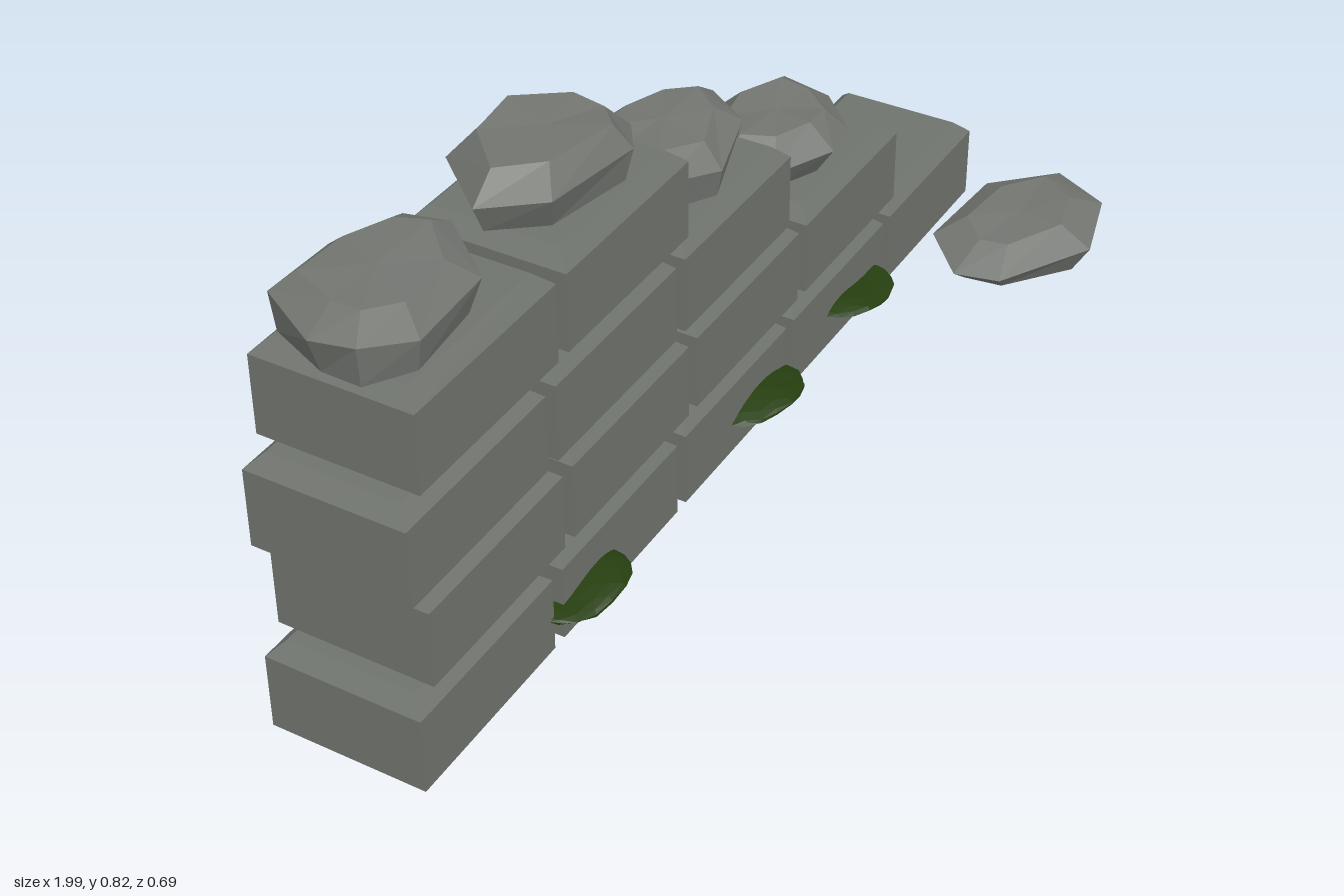
import * as THREE from 'three';

const stone = new THREE.MeshStandardMaterial({ color: 0x6f736d, flatShading: true });
stone.name = 'stone';
const boulder = new THREE.MeshStandardMaterial({ color: 0x727570, flatShading: true });
boulder.name = 'boulder';
const mossGreen = new THREE.MeshStandardMaterial({ color: 0x263f10, flatShading: true });
mossGreen.name = 'mossGreen';

const ANGLE = 0.12, LENGTH = 0.35, PITCH = 0.3775, DEPTH = 0.276, HEIGHT = 0.162, BEVEL = 0.025;

// Skin a stack of equal rings (clockwise from above, bottom to top) and cap both ends
function skin(rings) {
  const pos = [];
  const tri = (...pts) => pts.forEach((p) => pos.push(...p));
  const middle = (ring) => [0, 1, 2].map((k) => ring.reduce((s, p) => s + p[k], 0) / ring.length);
  const n = rings[0].length, last = rings.length - 1;
  const low = middle(rings[0]), high = middle(rings[last]);
  for (let i = 0; i < n; i++) {
    const j = (i + 1) % n;
    for (let r = 0; r < last; r++) {
      const a = rings[r], b = rings[r + 1];
      tri(b[i], b[j], a[j], a[j], a[i], b[i]);
    }
    tri(low, rings[0][i], rings[0][j]);
    tri(high, rings[last][j], rings[last][i]);
  }
  const g = new THREE.BufferGeometry();
  g.setAttribute('position', new THREE.Float32BufferAttribute(pos, 3));
  g.computeVertexNormals();
  return g;
}

// Block with only its top edges chamfered
function blockGeometry() {
  const ring = (y, inset) => {
    const x = LENGTH / 2 - inset, z = DEPTH / 2 - inset;
    return [[-x, y, z], [-x, y, -z], [x, y, -z], [x, y, z]];
  };
  return skin([ring(0, 0), ring(HEIGHT - BEVEL, 0), ring(HEIGHT, BEVEL)]);
}

// Faceted rock from its plan outline, with narrower foot and top
function rockGeometry({ outline, y, foot = 0.8, top = 0.62, tilt = 0 }) {
  const n = outline.length;
  const cx = outline.reduce((s, p) => s + p[0], 0) / n;
  const cz = outline.reduce((s, p) => s + p[1], 0) / n;
  const ring = (h, scale, wobble, slope) => outline.map(([x, z], i) => {
    const s = scale * (1 + (scale < 1 ? 0.06 * Math.sin(i * 2.3 + cx * 9) : 0));
    return [cx + (x - cx) * s, h + wobble * Math.sin(i * 1.9 + cx * 7) + slope * (x - cx), cz + (z - cz) * s];
  });
  return skin([ring(y[0], foot, 0.002, tilt), ring(y[1], 1, 0.01, 0), ring(y[2], top, 0.005, 0)]);
}

// Flat, wavy clump of moss
function mossGeometry(phase) {
  const g = new THREE.IcosahedronGeometry(1, 2);
  const p = g.attributes.position;
  for (let i = 0; i < p.count; i++) {
    const x = p.getX(i), y = p.getY(i), z = p.getZ(i);
    const s = 1 + 0.07 * Math.sin(x * 7 + phase) * Math.cos(z * 6 + y * 5);
    p.setXYZ(i, x * 0.098 * s, y * 0.013 * s + 0.006 * Math.sin(x * 3 + phase), z * 0.068 * s);
  }
  g.computeVertexNormals();
  return g;
}

export function createModel() {
  const model = new THREE.Group();
  model.name = 'ruinedWall';
  const add = (parent, name, geometry, material) => {
    const mesh = new THREE.Mesh(geometry, material);
    mesh.name = name;
    parent.add(mesh);
    return mesh;
  };

  // Stepped courses, alternate ones shifted slightly along the wall
  const wall = new THREE.Group();
  wall.name = 'wall';
  wall.position.set(-0.06, 0, -0.018);
  wall.rotation.y = ANGLE;
  model.add(wall);
  const block = blockGeometry();
  for (let row = 0; row < 4; row++) {
    const start = -0.93 + (row % 2) * 0.038 + LENGTH / 2;
    for (let i = 0; i < 5 - row; i++) {
      add(wall, 'block', block, stone).position.set(start + i * PITCH, 0.024 + row * 0.1745, 0);
    }
  }

  // Loose rocks: plan outline and foot, widest and top heights
  const rocks = [
    { name: 'cappingRock', y: [0.71, 0.772, 0.805], foot: 0.9, top: 0.68,
      outline: [[-0.98, 0.09], [-0.93, -0.03], [-0.78, -0.06], [-0.67, -0.02], [-0.655, 0.06], [-0.72, 0.17], [-0.88, 0.2], [-0.96, 0.16]] },
    { name: 'cappingRock', y: [0.71, 0.762, 0.805], foot: 0.85, top: 0.72,
      outline: [[-0.59, 0.04], [-0.5, -0.09], [-0.37, -0.1], [-0.27, -0.01], [-0.26, 0.07], [-0.33, 0.13], [-0.52, 0.13]] },
    { name: 'cappingRock', y: [0.535, 0.595, 0.63], foot: 0.88, top: 0.68,
      outline: [[-0.205, -0.03], [-0.17, -0.11], [-0.06, -0.138], [0.06, -0.11], [0.1, -0.04], [0.06, 0.05], [-0.07, 0.103], [-0.18, 0.06]] },
    { name: 'cappingRock', y: [0.362, 0.41, 0.452], foot: 0.76, top: 0.62,
      outline: [[0.145, -0.06], [0.21, -0.17], [0.34, -0.195], [0.47, -0.15], [0.48, -0.06], [0.41, 0.03], [0.31, 0.065], [0.2, 0.02]] },
    { name: 'fallenRock', y: [0.019, 0.07, 0.106], foot: 0.8, top: 0.6, tilt: -0.1,
      outline: [[0.57, 0.17], [0.64, 0.08], [0.86, 0.065], [0.995, 0.15], [0.93, 0.28], [0.77, 0.343], [0.6, 0.25]] },
    { name: 'fallenRock', y: [0.015, 0.052, 0.085], foot: 0.75, top: 0.62,
      outline: [[-0.71, -0.23], [-0.65, -0.33], [-0.46, -0.35], [-0.395, -0.25], [-0.44, -0.15], [-0.55, -0.115], [-0.68, -0.16]] },
  ];
  rocks.forEach((r) => add(model, r.name, rockGeometry(r), boulder));

  // Moss clumps growing from the front face
  [[-0.537, 0.171], [0.036, 0.109], [0.382, 0.065]].forEach(([x, z], i) => {
    add(model, 'moss', mossGeometry(i * 1.7), mossGreen).position.set(x, 0.086, z);
  });
  return model;
}
